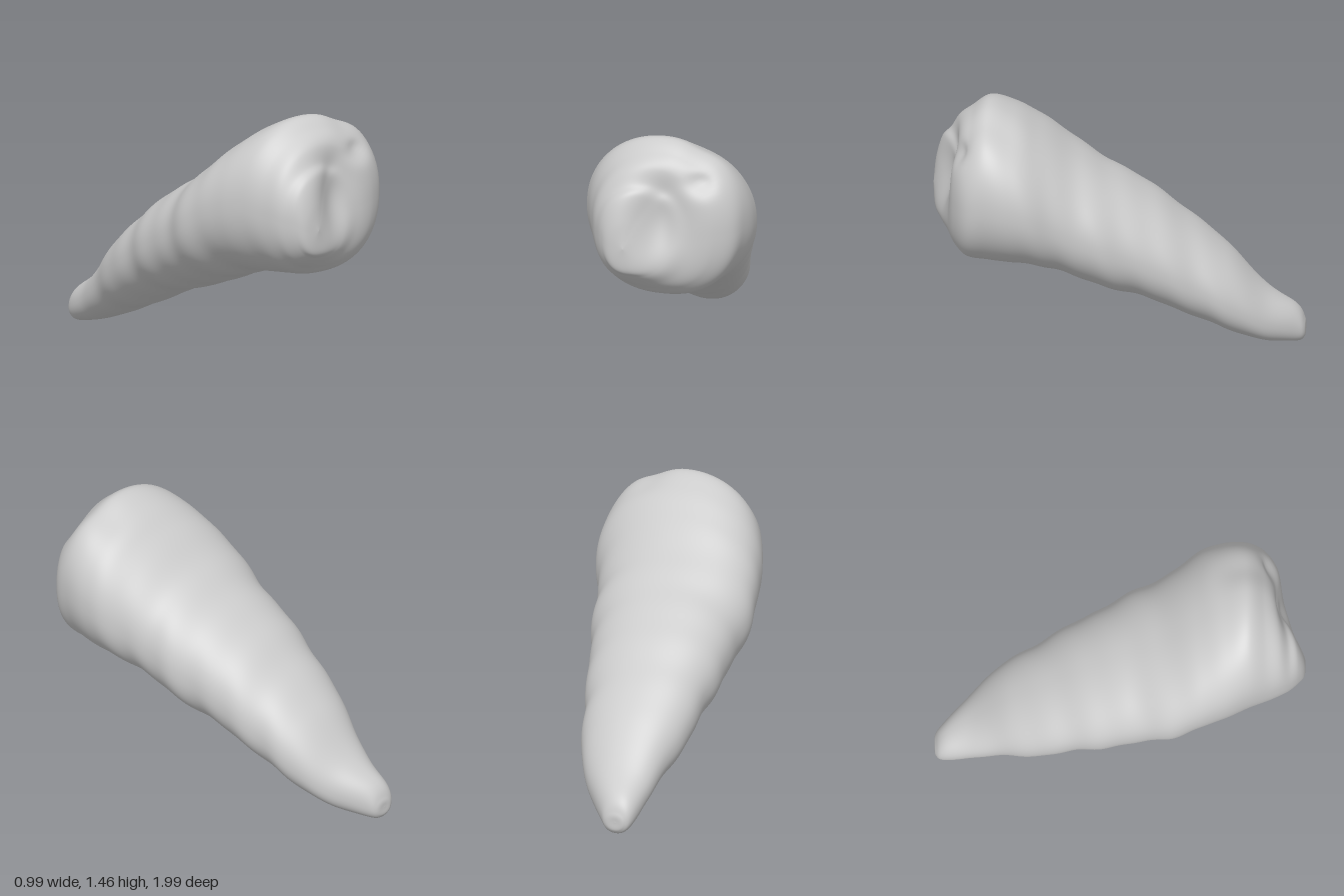
import * as THREE from 'three';

// Cross-sections along the shell: z, xMin, xMax, yMin, yMax
const SECTIONS = [
  [-1.0, -0.24, -0.24, 0.07, 0.07],
  [-0.995, -0.29, -0.18, 0.02, 0.12],
  [-0.95, -0.325, -0.13, 0.0, 0.2],
  [-0.8, -0.345, 0.0, 0.04, 0.32],
  [-0.6, -0.39, 0.125, 0.12, 0.54],
  [-0.4, -0.44, 0.185, 0.22, 0.72],
  [-0.2, -0.46, 0.25, 0.31, 0.87],
  [0.0, -0.475, 0.32, 0.39, 1.01],
  [0.2, -0.49, 0.37, 0.46, 1.13],
  [0.4, -0.475, 0.46, 0.555, 1.31],
  [0.55, -0.44, 0.495, 0.575, 1.41],
  [0.68, -0.39, 0.485, 0.59, 1.46],
  [0.78, -0.345, 0.45, 0.61, 1.4],
  [0.85, -0.315, 0.36, 0.66, 1.34],
  [0.9, -0.285, 0.23, 0.7, 1.25],
  [0.95, -0.245, 0.13, 0.745, 1.19],
  [0.985, -0.195, 0.0, 0.79, 1.06],
  [1.0, -0.11, -0.11, 0.91, 0.91],
];

const spline = (a, b) => new THREE.CatmullRomCurve3(
  SECTIONS.map(s => new THREE.Vector3(s[0], s[a], s[b])), false, 'catmullrom', 0.5);

const gauss = (dx, dy, rx, ry) => Math.exp(-(dx * dx) / (rx * rx) - (dy * dy) / (ry * ry));

function shellGeometry(rows = 204, cols = 96) {
  const across = spline(1, 2), upright = spline(3, 4);
  const pos = [], index = [];
  for (let i = 0; i <= rows; i++) {
    const t = i / rows;
    const h = across.getPoint(t), v = upright.getPoint(t);
    const cx = (h.y + h.z) / 2, rx = Math.abs(h.z - h.y) / 2;
    const cy = (v.y + v.z) / 2, ry = Math.abs(v.z - v.y) / 2;
    // Whorl ridges fade out at the tip and on the mouth
    const fade = THREE.MathUtils.smoothstep(h.x, -1, -0.8) * (1 - THREE.MathUtils.smoothstep(h.x, 0.3, 0.6));
    const mouth = THREE.MathUtils.smoothstep(h.x, 0.45, 0.65);
    const front = THREE.MathUtils.smoothstep(h.x, 0.65, 0.9);
    for (let j = 0; j < cols; j++) {
      const a = (j / cols) * Math.PI * 2;
      const phase = (h.x / 0.4 - a / (Math.PI * 2)) * Math.PI * 2;
      const whorl = Math.sin(phase) + 0.4 * Math.sin(phase * 2);
      // The upper right shoulder of the mouth is flattened
      const k = 1 + 0.02 * fade * whorl - 0.05 * mouth * gauss(a - 1.15, 0, 0.25, 1);
      // Slightly squared ellipse, fuller along the lower lip
      const c = Math.cos(a), s = Math.sin(a);
      const e = 0.93 - (s < 0 ? 0.13 * front : 0);
      const x = cx + rx * k * Math.sign(c) * Math.abs(c) ** e;
      const y = cy + ry * k * Math.sign(s) * Math.abs(s) ** e;
      // Hollow of the mouth, and a notch on its upper rim
      const z = h.x - front * (0.1 * gauss(x - 0.07, y - 1.06, 0.14, 0.22)
        + 0.05 * gauss(x - 0.28, y - 1.27, 0.08, 0.06));
      pos.push(x, Math.max(y, 0), z);
    }
  }
  for (let i = 0; i < rows; i++) {
    for (let j = 0; j < cols; j++) {
      const p = i * cols + j, q = i * cols + (j + 1) % cols;
      index.push(p, q, q + cols, p, q + cols, p + cols);
    }
  }
  const g = new THREE.BufferGeometry();
  g.setAttribute('position', new THREE.Float32BufferAttribute(pos, 3));
  g.setIndex(index);
  g.computeVertexNormals();
  return g;
}

export function createModel() {
  const group = new THREE.Group();
  group.name = 'spiralShell';
  const material = new THREE.MeshStandardMaterial({ color: 0xcccccc, side: THREE.DoubleSide });
  const shell = new THREE.Mesh(shellGeometry(), material);
  shell.name = 'shellBody';
  group.add(shell);
  return group;
}
